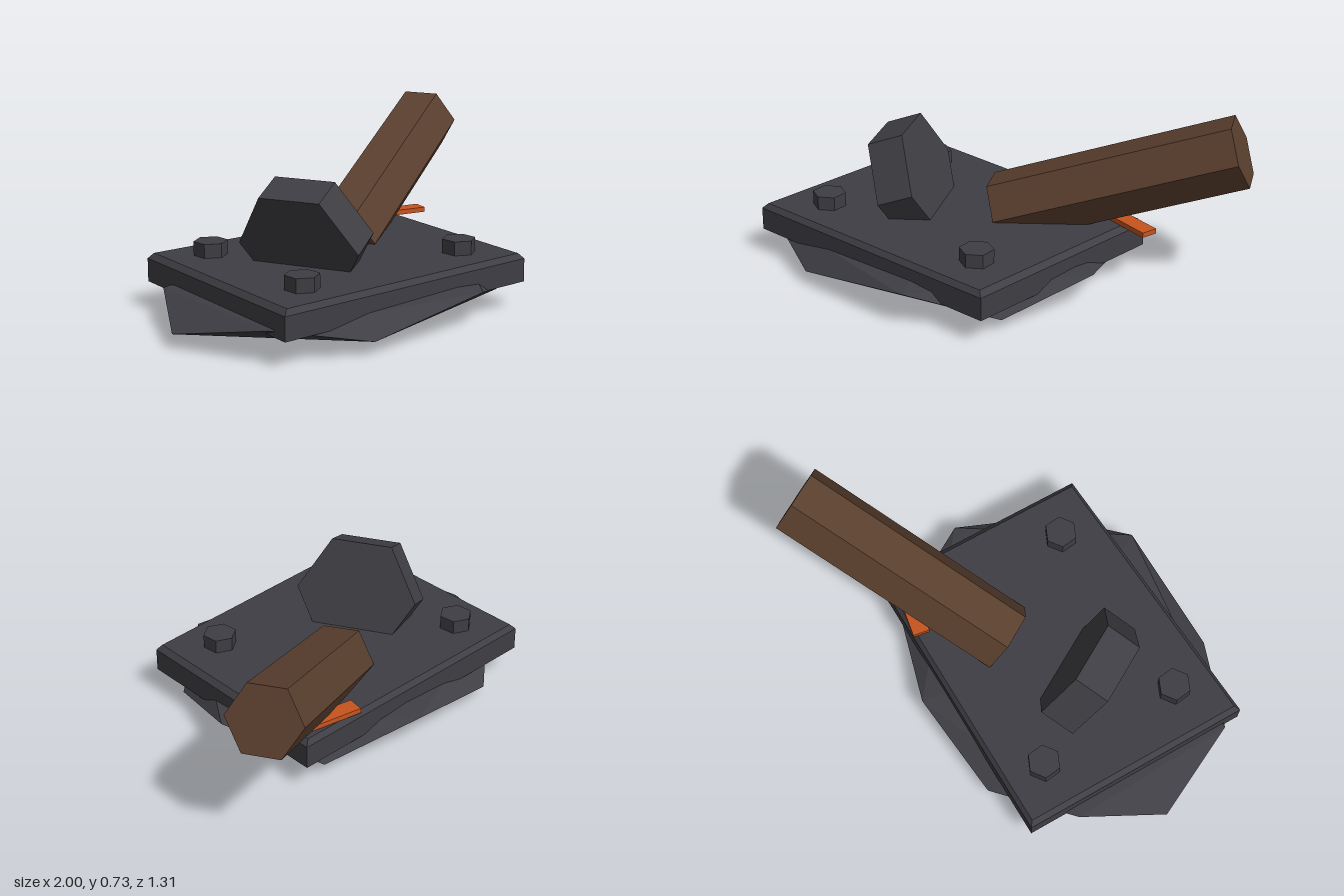
import * as THREE from 'three';
import { ConvexGeometry } from 'three/addons/geometries/ConvexGeometry.js';

const V = (x, y, z) => new THREE.Vector3(x, y, z);

export function createModel() {
  const group = new THREE.Group();
  const material = (name, color) => {
    const m = new THREE.MeshStandardMaterial({ color, flatShading: true });
    m.name = name;
    return m;
  };
  const iron = material('dark iron', 0x3f3e44);
  const rust = material('rusty brown', 0x5a3f2e);
  const orange = material('orange strip', 0xc8541f);

  const add = (name, geometry, mat) => {
    const mesh = new THREE.Mesh(geometry, mat);
    mesh.name = name;
    group.add(mesh);
    return mesh;
  };

  // Hexagonal prism between two points, with one corner pointing along "corner"
  const hexPrism = (name, from, to, radius, corner, mat) => {
    const axis = to.clone().sub(from);
    const mesh = add(name, new THREE.CylinderGeometry(radius, radius, axis.length(), 6), mat);
    const y = axis.normalize();
    const z = corner.clone().addScaledVector(y, -corner.dot(y)).normalize();
    const x = new THREE.Vector3().crossVectors(y, z);
    mesh.quaternion.setFromRotationMatrix(new THREE.Matrix4().makeBasis(x, y, z));
    mesh.position.addVectors(from, to).multiplyScalar(0.5);
    return mesh;
  };

  // Flattened twenty-sided rock: two staggered five-point rings and two tips
  add('baseRock', new ConvexGeometry([
    V(-0.22, 0, 0.07), V(-0.2, 0.21, 0),
    V(-1, 0.06, 0.01), V(-0.49, 0.06, 0.62), V(0.41, 0.05, 0.43),
    V(0.42, 0.055, -0.38), V(-0.46, 0.055, -0.54),
    V(-0.86, 0.14, 0.43), V(0.08, 0.15, 0.655), V(0.58, 0.15, 0.04),
    V(0.01, 0.14, -0.545), V(-0.8, 0.14, -0.31),
  ]), iron);

  // Skewed four-sided plate with a chamfered top edge
  const corners = [[-0.73, -0.51], [-0.85, 0.51], [0.42, 0.575], [0.54, -0.39]];
  const center = [-0.155, 0.04];
  const platePoints = [];
  for (const [y, s] of [[0.112, 1], [0.212, 1], [0.235, 0.965]]) {
    for (const [x, z] of corners) {
      platePoints.push(V(center[0] + (x - center[0]) * s, y, center[1] + (z - center[1]) * s));
    }
  }
  add('plate', new ConvexGeometry(platePoints), iron);

  // Bolt heads
  for (const [x, z] of [[-0.61, 0.335], [0.235, 0.37], [-0.55, -0.31]]) {
    add('bolt', new THREE.CylinderGeometry(0.072, 0.072, 0.07, 6), iron).position.set(x, 0.26, z);
  }

  // Tilted nut sunk into the plate
  hexPrism('nut', V(-0.425, 0.315, 0.1), V(-0.285, 0.373, 0.04), 0.268,
    V(0.115, 0.005, 0.24), iron);

  // Leaning rusty bar
  hexPrism('bar', V(-0.004, 0.238, -0.097), V(0.923, 0.603, -0.517), 0.156,
    V(-0.068, 0, -0.143), rust);

  // Thin strip beneath the bar
  const strip = add('strip', new THREE.BoxGeometry(0.437, 0.022, 0.073), orange);
  strip.position.set(0.44, 0.245, -0.325);
  strip.rotation.y = -0.278;

  return group;
}
